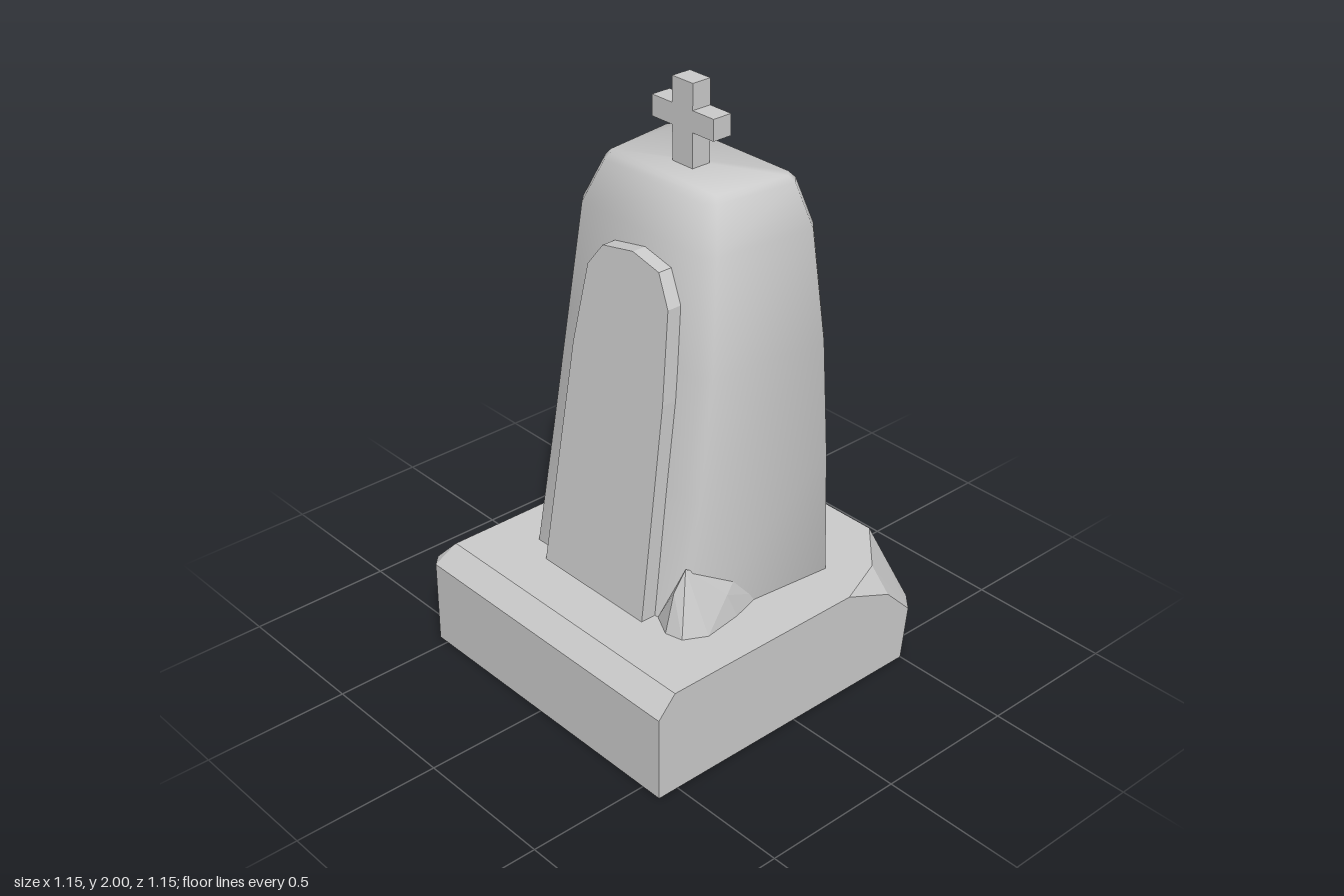
import * as THREE from 'three';
import { toCreasedNormals } from 'three/addons/utils/BufferGeometryUtils.js';
import { ConvexGeometry } from 'three/addons/geometries/ConvexGeometry.js';

const stone = new THREE.MeshStandardMaterial({ color: 0xcccccc, side: THREE.DoubleSide });

function add(group, name, geometry) {
  const mesh = new THREE.Mesh(geometry, stone);
  mesh.name = name;
  group.add(mesh);
}

// Flat-faced solid from corners and convex polygons
function polyhedron(corners, faces) {
  const index = faces.flatMap(f => f.slice(2).flatMap((v, i) => [f[0], f[i + 1], v]));
  const g = new THREE.BufferGeometry();
  g.setAttribute('position', new THREE.Float32BufferAttribute(corners.flat(), 3));
  g.setIndex(index);
  const flat = g.toNonIndexed();
  flat.computeVertexNormals();
  return flat;
}

// Hollow plinth, bevelled at front and left, chipped at the back corner
function plinthGeometry() {
  const s = 0.575, e = 0.51, b = 0.295, t = 0.365;
  const corners = [
    [-s, 0, 0.54], [-0.54, 0, s], [s, 0, s], [s, 0, -0.5], [0.5, 0, -s], [-s, 0, -s],
    [-s, b, 0.54], [-0.54, b, s], [s, b, s], [s, 0.185, -0.525], [0.52, 0.185, -s], [-s, b, -s],
    [-e, t, e], [s, t, e], [s, t, -0.235], [0.5, t, -0.42], [0.34, t, -s], [-e, t, -s],
    [s, 0.29, -0.42],
  ];
  return polyhedron(corners, [
    [1, 2, 8, 7], [0, 1, 7, 6], [6, 7, 12], [7, 8, 13, 12],
    [2, 3, 9, 18, 14, 13, 8], [3, 4, 10, 9], [4, 5, 11, 17, 16, 10],
    [6, 12, 17, 11], [5, 0, 6, 11], [12, 13, 14, 15, 16, 17],
    [9, 10, 16, 15, 18], [18, 15, 14],
  ]);
}

// Tapering trapezoid shaft lofted through bevelled rings
function shaftGeometry() {
  // y, left x, right x, front inset in x, front z, back z, corner cut
  const levels = [
    [0.365, -0.425, 0.41, 0.055, 0.29, -0.32, 0.025],
    [0.8, -0.395, 0.4, 0.05, 0.235, -0.318, 0.03],
    [1.2, -0.375, 0.39, 0.05, 0.18, -0.298, 0.03],
    [1.57, -0.35, 0.345, 0.045, 0.135, -0.285, 0.035],
    [1.71, -0.29, 0.29, 0.04, 0.085, -0.255, 0.03],
    [1.73, -0.27, 0.27, 0.035, 0.07, -0.238, 0.025],
  ];
  const corners = levels.flatMap(([y, l, r, d, f, k, c]) => [
    [l + d, y, f - c], [l + d + c, y, f], [r - d - c, y, f], [r - d, y, f - c],
    [r, y, k + c], [r - c, y, k], [l + c, y, k], [l, y, k + c],
  ]);
  const faces = [];
  for (let j = 0; j < levels.length - 1; j++) {
    for (let i = 0; i < 8; i++) {
      const a = j * 8 + i, n = j * 8 + (i + 1) % 8;
      faces.push([a, n, n + 8, a + 8]);
    }
  }
  faces.push([0, 1, 2, 3, 4, 5, 6, 7].map(i => i + (levels.length - 1) * 8));
  return toCreasedNormals(polyhedron(corners, faces), 0.95);
}

const shapeOf = pts => new THREE.Shape(pts.map(p => new THREE.Vector2(...p)));

// Arched slab leaning back along the shaft
function panelGeometry() {
  const outline = shapeOf([
    [-0.24, 0.365], [0.235, 0.365], [0.225, 1.1], [0.205, 1.4], [0.15, 1.5],
    [0.03, 1.525], [-0.105, 1.5], [-0.165, 1.42], [-0.2, 1.15],
  ]);
  const g = new THREE.ExtrudeGeometry(outline, { depth: 0.1, bevelEnabled: false });
  const p = g.attributes.position;
  for (let i = 0; i < p.count; i++) {
    p.setZ(i, p.getZ(i) + 0.245 - 0.134 * (p.getY(i) - 0.365));
  }
  g.computeVertexNormals();
  return g;
}

// Upright and arms in one outline
function crossGeometry() {
  const w = 0.045, a = 0.135, lo = 1.845, hi = 1.915;
  const outline = shapeOf([
    [-w, 1.725], [w, 1.725], [w, lo], [a, lo], [a, hi], [w, hi],
    [w, 2], [-w, 2], [-w, hi], [-a, hi], [-a, lo], [-w, lo],
  ]);
  const g = new THREE.ExtrudeGeometry(outline, { depth: 0.07, bevelEnabled: false });
  return g.translate(0, 0, -0.105);
}

// Broken stone leaning on the front left corner
function rubbleGeometry() {
  return new ConvexGeometry([
    [0.25, 0.365, 0.29], [0.33, 0.365, 0.33], [0.39, 0.365, 0.315], [0.43, 0.365, 0.24],
    [0.41, 0.365, 0.1], [0.37, 0.365, -0.04], [0.345, 0.58, 0.26],
    [0.365, 0.47, 0.07], [0.395, 0.45, 0.13], [0.33, 0.5, 0.295],
  ].map(p => new THREE.Vector3(...p)));
}

export function createModel() {
  const group = new THREE.Group();
  group.name = 'gravestone';
  add(group, 'plinth', plinthGeometry());
  add(group, 'shaft', shaftGeometry());
  add(group, 'archedPanel', panelGeometry());
  add(group, 'cross', crossGeometry());
  add(group, 'rubble', rubbleGeometry());
  return group;
}
